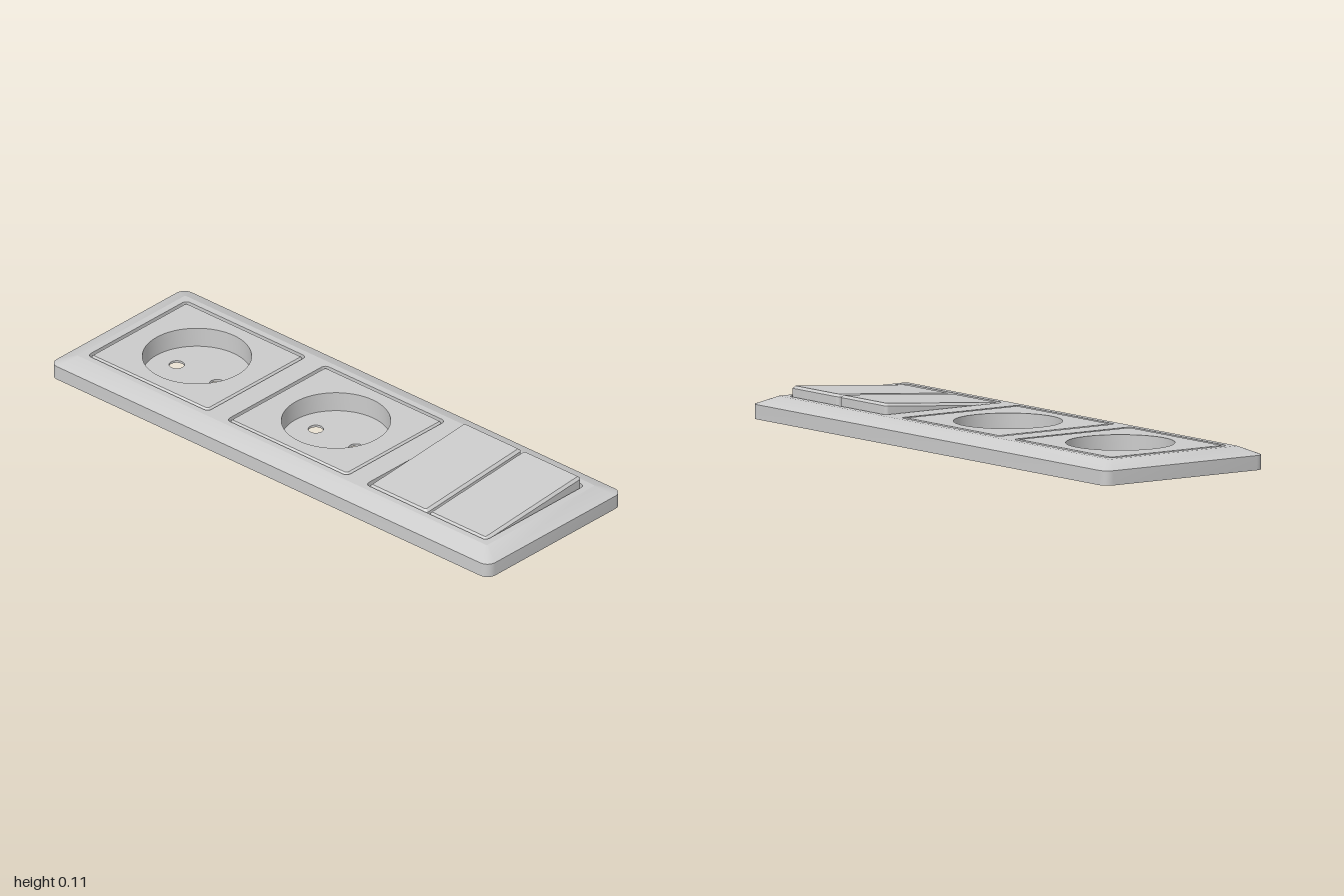
import * as THREE from 'three';
import { toCreasedNormals, mergeGeometries } from 'three/addons/utils/BufferGeometryUtils.js';

const material = new THREE.MeshStandardMaterial({ color: 0xcccccc });
const TOP = 0.078, FLOOR = 0.008;
const CENTRES = [-0.634, 0, 0.634];
const WINDOW = { hx: 0.275, hz: 0.246, r: 0.018 };
const INSERT = { hx: 0.268, hz: 0.239, r: 0.014 };

// Rounded rectangle as points, counter-clockwise seen from above
function roundedRect(hx, hz, r, cx = 0, segs = 6) {
  const pts = [];
  [[1, 1], [-1, 1], [-1, -1], [1, -1]].forEach(([sx, sy], k) => {
    for (let i = 0; i <= segs; i++) {
      const a = (k + i / segs) * Math.PI / 2;
      pts.push(new THREE.Vector2(cx + sx * (hx - r) + r * Math.cos(a), sy * (hz - r) + r * Math.sin(a)));
    }
  });
  return pts;
}

// Ring of 3D points; height is a number or a function of z
function ring(points, height) {
  return points.map(p => new THREE.Vector3(p.x, typeof height === 'function' ? height(-p.y) : height, -p.y));
}

// Walls through rings listed from bottom to top, with optional end caps
function loft(rings, { inward = false, capTop = false, capBottom = false } = {}) {
  const pos = [];
  const tri = (a, b, c) => (inward ? [a, c, b] : [a, b, c]).forEach(v => pos.push(v.x, v.y, v.z));
  const n = rings[0].length;
  const middle = r => r.reduce((s, v) => s.add(v), new THREE.Vector3()).divideScalar(n);
  const first = rings[0], last = rings[rings.length - 1];
  for (let i = 0; i < n; i++) {
    const j = (i + 1) % n;
    for (let k = 0; k + 1 < rings.length; k++) {
      const lo = rings[k], up = rings[k + 1];
      tri(lo[i], lo[j], up[j]);
      tri(lo[i], up[j], up[i]);
    }
    if (capTop) tri(last[i], last[j], middle(last));
    if (capBottom) tri(first[j], first[i], middle(first));
  }
  const g = new THREE.BufferGeometry();
  g.setAttribute('position', new THREE.Float32BufferAttribute(pos, 3));
  return toCreasedNormals(g, 0.4);
}

// Flat horizontal face with holes, facing up or down
function plate(outline, holes, y, down = false) {
  const shape = new THREE.Shape(outline);
  shape.holes = holes.map(h => new THREE.Path(h));
  const g = new THREE.ShapeGeometry(shape).toNonIndexed();
  g.deleteAttribute('uv');
  return g.rotateX(down ? Math.PI / 2 : -Math.PI / 2).translate(0, y, 0);
}

function circle(radius, cx, segs) {
  return Array.from({ length: segs }, (_, i) => {
    const a = i / segs * Math.PI * 2;
    return new THREE.Vector2(cx + radius * Math.cos(a), radius * Math.sin(a));
  });
}

function makeMesh(name, parts) {
  const mesh = new THREE.Mesh(mergeGeometries(parts), material);
  mesh.name = name;
  return mesh;
}

// Cover frame with sloped border and three windows
function makeFrame() {
  const base = roundedRect(1, 0.335, 0.035);
  const rim = roundedRect(0.934, 0.269, 0.004);
  const windows = CENTRES.map(c => roundedRect(WINDOW.hx, WINDOW.hz, WINDOW.r, c));
  return makeMesh('coverFrame', [
    loft([ring(base, 0), ring(base, 0.05), ring(rim, TOP)]),
    plate(rim, windows, TOP),
    plate(base, windows, 0, true),
    ...windows.map(w => loft([ring(w, 0), ring(w, TOP)], { inward: true })),
  ]);
}

// Socket insert: bevelled plate, round recess, two through pin holes
function makeSocket() {
  const { hx, hz, r } = INSERT;
  const outer = roundedRect(hx, hz, r), face = roundedRect(hx - 0.007, hz - 0.007, r - 0.005);
  const recess = circle(0.184, 0, 64);
  const pins = [-0.092, 0.092].map(x => circle(0.026, x, 24));
  return makeMesh('socketInsert', [
    loft([ring(outer, 0), ring(outer, TOP - 0.007), ring(face, TOP)]),
    plate(face, [recess], TOP),
    loft([ring(recess, FLOOR), ring(recess, TOP)], { inward: true }),
    plate(recess, pins, FLOOR),
    plate(outer, pins, 0, true),
    ...pins.map(p => loft([ring(p, 0), ring(p, FLOOR)], { inward: true })),
  ]);
}

// Tilted rocker, raised at the back, with a bevelled top edge
function makeRocker() {
  const hx = INSERT.hx / 2 - 0.003, hz = INSERT.hz;
  const body = roundedRect(hx, hz, 0.012), face = roundedRect(hx - 0.009, hz - 0.009, 0.006);
  return makeMesh('rocker', [
    loft([ring(body, 0), ring(body, z => 0.087 - 0.079 * z), ring(face, z => 0.096 - 0.079 * z)],
      { capTop: true, capBottom: true }),
  ]);
}

export function createModel() {
  const model = new THREE.Group();
  model.name = 'wallOutletPanel';
  model.add(makeFrame());

  for (const x of CENTRES.slice(0, 2)) {
    const socket = makeSocket();
    socket.position.x = x;
    model.add(socket);
  }

  const doubleSwitch = new THREE.Group();
  doubleSwitch.name = 'doubleSwitch';
  doubleSwitch.position.x = CENTRES[2];
  for (const side of [-1, 1]) {
    const rocker = makeRocker();
    rocker.position.x = side * (INSERT.hx / 2 + 0.002);
    doubleSwitch.add(rocker);
  }
  model.add(doubleSwitch);
  return model;
}
